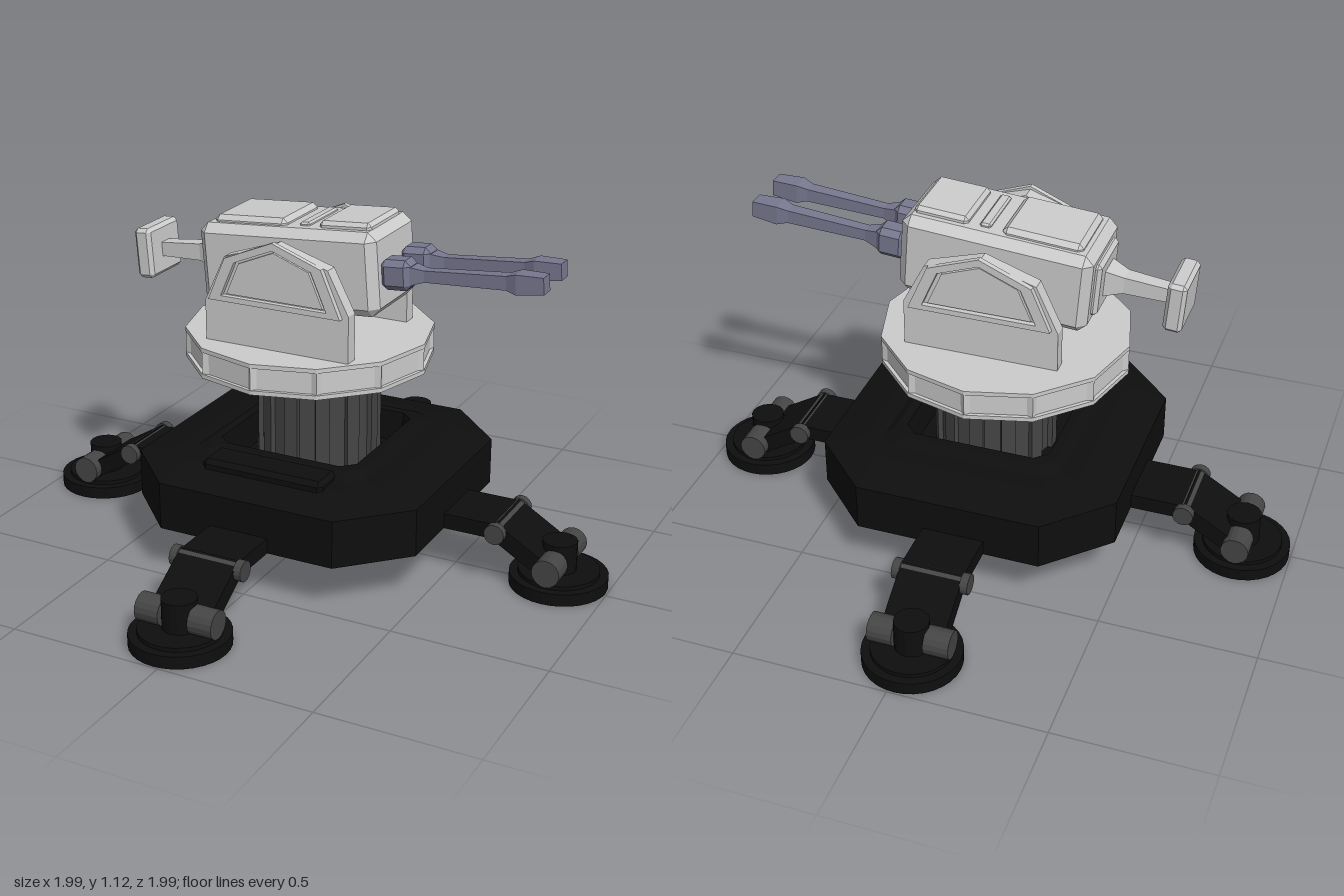
import * as THREE from 'three';
import { ConvexGeometry } from 'three/addons/geometries/ConvexGeometry.js';

const mat = (color) => new THREE.MeshStandardMaterial({ color, flatShading: true });
const light = mat(0xcccccc), black = mat(0x0e0e0e), dark = mat(0x454545), steel = mat(0x77778f);

function add(parent, name, geometry, material, x = 0, y = 0, z = 0) {
  const mesh = new THREE.Mesh(geometry, material);
  mesh.name = name;
  mesh.position.set(x, y, z);
  parent.add(mesh);
  return mesh;
}

function group(parent, name, x = 0, y = 0, z = 0) {
  const g = new THREE.Group();
  g.name = name;
  g.position.set(x, y, z);
  parent.add(g);
  return g;
}

// Box with every edge cut by c
function chamferBox(w, h, d, c) {
  const pts = [];
  for (const sx of [-1, 1]) for (const sy of [-1, 1]) for (const sz of [-1, 1])
    for (let axis = 0; axis < 3; axis++) {
      const cut = [c, c, c];
      cut[axis] = 0;
      pts.push(new THREE.Vector3(sx * (w / 2 - cut[0]), sy * (h / 2 - cut[1]), sz * (d / 2 - cut[2])));
    }
  return new ConvexGeometry(pts);
}

// Square bar along x that changes size from one end to the other
function taperBar(x0, s0, x1, s1) {
  const pts = [];
  for (const [x, s] of [[x0, s0], [x1, s1]])
    for (const a of [-1, 1]) for (const b of [-1, 1]) pts.push(new THREE.Vector3(x, a * s / 2, b * s / 2));
  return new ConvexGeometry(pts);
}

// Octagonal skin through levels of [half width, half length of straight side, y], capped at both ends
function octagonLoft(levels) {
  const rings = levels.map(([h, s, y]) =>
    [[h, -s], [h, s], [s, h], [-s, h], [-h, s], [-h, -s], [-s, -h], [s, -h]].map(([x, z]) => [x, y, z]));
  const v = [];
  const tri = (...p) => p.forEach((q) => v.push(...q));
  const first = [0, levels[0][2], 0], last = [0, levels[levels.length - 1][2], 0];
  for (let i = 0; i < 8; i++) {
    const j = (i + 1) % 8;
    tri(first, rings[0][i], rings[0][j]);
    for (let k = 0; k + 1 < rings.length; k++) {
      const a = rings[k], b = rings[k + 1];
      tri(a[i], b[i], a[j]);
      tri(a[j], b[i], b[j]);
    }
    const top = rings[rings.length - 1];
    tri(last, top[j], top[i]);
  }
  const g = new THREE.BufferGeometry();
  g.setAttribute('position', new THREE.Float32BufferAttribute(v, 3));
  g.computeVertexNormals();
  return g;
}

function plate(points, depth, holePoints) {
  const shape = new THREE.Shape(points.map(([x, y]) => new THREE.Vector2(x, y)));
  if (holePoints) shape.holes.push(new THREE.Path(holePoints.map(([x, y]) => new THREE.Vector2(x, y))));
  return new THREE.ExtrudeGeometry(shape, { depth, bevelEnabled: false });
}

// One leg reaching along +x
function buildLeg(leg) {
  add(leg, 'upperLeg', new THREE.BoxGeometry(0.26, 0.05, 0.2), black, 0.53, 0.18);
  const lower = add(leg, 'lowerLeg', new THREE.BoxGeometry(0.2, 0.055, 0.2), black, 0.735, 0.135);
  lower.rotation.z = Math.atan2(-0.09, 0.15);
  const crossCylinder = (name, r, len, x, y, z) => {
    const c = add(leg, name, new THREE.CylinderGeometry(r, r, len, 16), dark, x, y, z);
    c.rotation.x = Math.PI / 2;
  };
  crossCylinder('kneePin', 0.022, 0.2, 0.665, 0.185, 0);
  for (const s of [-1, 1]) {
    crossCylinder('kneeCap', 0.033, 0.025, 0.665, 0.18, s * 0.11);
    crossCylinder('ankleRoller', 0.045, 0.08, 0.84, 0.09, s * 0.09);
  }
  add(leg, 'anklePost', new THREE.CylinderGeometry(0.055, 0.055, 0.11, 16), black, 0.84, 0.095);
  add(leg, 'footPad', new THREE.CylinderGeometry(0.155, 0.155, 0.04, 32), black, 0.84, 0.02);
  add(leg, 'footStep', new THREE.CylinderGeometry(0.128, 0.128, 0.015, 32), black, 0.84, 0.046);
}

export function createModel() {
  const model = new THREE.Group();
  model.name = 'turret';

  // Octagonal base with a recessed well
  add(model, 'base', octagonLoft([
    [0.31, 0.22, 0.105], [0.49, 0.3, 0.155], [0.49, 0.3, 0.31], [0.36, 0.28, 0.345],
    [0.3, 0.25, 0.35], [0.27, 0.23, 0.37], [0.24, 0.2, 0.37], [0.23, 0.19, 0.27],
  ]), black);
  add(model, 'frontHatch', chamferBox(0.42, 0.06, 0.12, 0.015), black, 0, 0.34, 0.325);

  // Four legs
  for (let i = 0; i < 4; i++) {
    const leg = group(model, 'leg' + (i + 1), i % 2 ? -0.02 : 0, 0, i % 2 ? 0 : -0.015);
    leg.rotation.y = i * Math.PI / 2;
    buildLeg(leg);
  }

  // Ribbed column
  const column = group(model, 'column', 0, 0, -0.015);
  add(column, 'columnCore', new THREE.CylinderGeometry(0.188, 0.188, 0.36, 12), dark, 0, 0.44, 0);
  for (let i = 0; i < 12; i++) {
    const a = i * Math.PI / 6;
    const rib = add(column, 'columnRib', new THREE.BoxGeometry(0.045, 0.36, 0.03), dark,
      Math.sin(a) * 0.183, 0.44, Math.cos(a) * 0.183);
    rib.rotation.y = a;
  }

  // Twelve-sided turntable with sunken side panels
  const table = group(model, 'turntable', -0.04, 0.66, -0.03);
  add(table, 'tableCore', new THREE.CylinderGeometry(0.388, 0.388, 0.09, 12), light);
  for (const s of [-1, 1])
    add(table, 'tableRim', new THREE.CylinderGeometry(0.4, 0.4, 0.014, 12), light, 0, s * 0.043, 0);
  for (let i = 0; i < 12; i++) {
    const a = i * Math.PI / 6;
    const post = add(table, 'tablePost', new THREE.CylinderGeometry(0.02, 0.02, 0.09, 4), light,
      Math.sin(a) * 0.379, 0, Math.cos(a) * 0.379);
    post.rotation.y = a;
  }

  // Side brackets with framed armour
  const bracket = [[-0.27, 0.7], [0.225, 0.7], [0.225, 0.86], [0.155, 0.995], [-0.025, 1.05], [-0.2, 0.99], [-0.27, 0.84]];
  const armour = [[-0.25, 0.85], [0.205, 0.85], [0.14, 1.0], [-0.025, 1.06], [-0.19, 0.99]];
  const shrink = (k) => armour.map(([x, y]) => [-0.025 + (x + 0.025) * k, 0.938 + (y - 0.938) * k]);
  for (const s of [1, -1]) {
    const side = group(model, s > 0 ? 'frontBracket' : 'rearBracket');
    const at = (z, depth) => (s > 0 ? z : -z - depth);
    add(side, 'bracketPlate', plate(bracket, 0.045), light, 0, 0, at(0.19, 0.045));
    add(side, 'armourFrame', plate(armour, 0.018, shrink(0.8)), light, 0, 0, at(0.235, 0.018));
    add(side, 'armourPanel', plate(shrink(0.73), 0.01), light, 0, 0, at(0.235, 0.01));
  }
  const axle = add(model, 'pivotAxle', new THREE.CylinderGeometry(0.06, 0.06, 0.4, 12), light, -0.03, 0.94, 0);
  axle.rotation.x = Math.PI / 2;

  // Gun housing, tipped slightly nose up
  const gun = group(model, 'gun', -0.03, 0.945, 0.005);
  gun.rotation.z = 0.075;
  add(gun, 'housing', chamferBox(0.61, 0.265, 0.31, 0.028), light);
  add(gun, 'rearHatch', chamferBox(0.255, 0.04, 0.23, 0.015), light, -0.135, 0.133, 0);
  add(gun, 'topRib', chamferBox(0.035, 0.02, 0.2, 0.006), light, 0.05, 0.133, 0);
  add(gun, 'frontTopPanel', chamferBox(0.175, 0.04, 0.22, 0.012), light, 0.19, 0.133, 0);
  add(gun, 'rearPlate', chamferBox(0.03, 0.18, 0.2, 0.012), light, -0.308, 0, 0);

  // Counterweight on a tapered arm
  add(gun, 'rearArm', taperBar(-0.54, 0.045, -0.38, 0.055), light);
  add(gun, 'rearArmRoot', taperBar(-0.38, 0.055, -0.31, 0.095), light);
  add(gun, 'counterweight', chamferBox(0.06, 0.165, 0.185, 0.012), light, -0.555, 0, 0);

  // Twin barrels
  for (const z of [-0.075, 0.075]) {
    const barrel = group(gun, 'barrel', 0, -0.003, z);
    add(barrel, 'barrelMount', chamferBox(0.1, 0.095, 0.085, 0.018), steel, 0.35, 0, 0);
    add(barrel, 'barrelCollar', taperBar(0.39, 0.06, 0.44, 0.036), steel);
    add(barrel, 'barrelBar', taperBar(0.42, 0.036, 0.72, 0.044), steel);
    add(barrel, 'muzzleFlare', taperBar(0.695, 0.04, 0.735, 0.062), steel);
    add(barrel, 'muzzle', taperBar(0.735, 0.062, 0.82, 0.052), steel);
  }
  return model;
}
